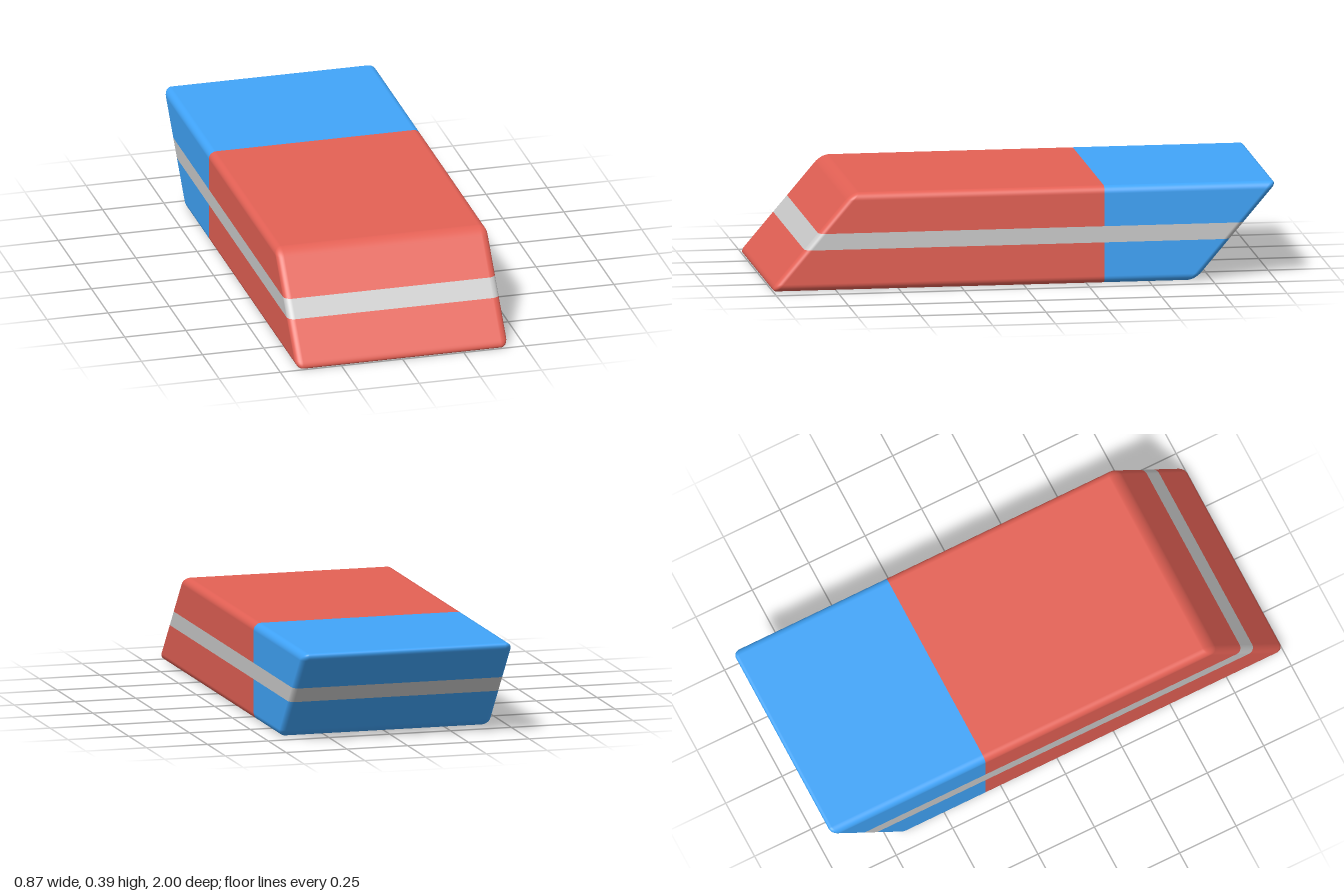
import * as THREE from 'three';
import { RoundedBoxGeometry } from 'three/addons/geometries/RoundedBoxGeometry.js';

const WIDTH = 0.866, HEIGHT = 0.39, DEPTH = 1.7, RADIUS = 0.03, SHEAR = 0.85;
const BAND_LOW = 0.165, BAND_HIGH = 0.23, COLOUR_SPLIT = -0.32;

// Keep the side of a triangle list where sign * (coordinate - limit) >= 0.
// A vertex is [x, y, z, nx, ny, nz].
function clip(triangles, axis, limit, sign) {
  const result = [];
  for (const tri of triangles) {
    const kept = [];
    tri.forEach((a, i) => {
      const b = tri[(i + 1) % 3];
      const da = sign * (a[axis] - limit), db = sign * (b[axis] - limit);
      if (da >= 0) kept.push(a);
      if ((da > 0 && db < 0) || (da < 0 && db > 0)) {
        const t = da / (da - db);
        kept.push(a.map((v, k) => v + (b[k] - v) * t));
      }
    });
    for (let i = 1; i + 1 < kept.length; i++) result.push([kept[0], kept[i], kept[i + 1]]);
  }
  return result;
}

// Slanted block: a rounded box sheared along z
function slantedBlock() {
  const geometry = new RoundedBoxGeometry(WIDTH, HEIGHT, DEPTH, 5, RADIUS);
  geometry.applyMatrix4(new THREE.Matrix4().makeShear(0, 0, 0, -SHEAR, 0, 0));
  geometry.translate(0, HEIGHT / 2, 0);
  const flat = geometry.index ? geometry.toNonIndexed() : geometry;
  const p = flat.attributes.position, n = flat.attributes.normal;
  const triangles = [];
  for (let i = 0; i < p.count; i += 3) {
    triangles.push([i, i + 1, i + 2].map((j) =>
      [p.getX(j), p.getY(j), p.getZ(j), n.getX(j), n.getY(j), n.getZ(j)]));
  }
  return triangles;
}

function makePart(name, color, triangles) {
  const vertices = triangles.flat();
  const geometry = new THREE.BufferGeometry();
  geometry.setAttribute('position',
    new THREE.Float32BufferAttribute(vertices.flatMap((v) => v.slice(0, 3)), 3));
  geometry.setAttribute('normal',
    new THREE.Float32BufferAttribute(vertices.flatMap((v) => v.slice(3)), 3));
  geometry.normalizeNormals();
  const mesh = new THREE.Mesh(geometry, new THREE.MeshStandardMaterial({ color }));
  mesh.name = name;
  return mesh;
}

export function createModel() {
  const group = new THREE.Group();
  group.name = 'eraser';
  const block = slantedBlock();
  const lower = clip(block, 1, BAND_LOW, -1);
  const upper = clip(block, 1, BAND_HIGH, 1);
  const band = clip(clip(block, 1, BAND_LOW, 1), 1, BAND_HIGH, -1);

  // Red front and blue back, each above and below the band
  for (const [level, part] of [['Lower', lower], ['Upper', upper]]) {
    group.add(makePart('redEnd' + level, 0xe46155, clip(part, 2, COLOUR_SPLIT, 1)));
    group.add(makePart('blueEnd' + level, 0x41a5fa, clip(part, 2, COLOUR_SPLIT, -1)));
  }

  // Grey stripe all the way round
  group.add(makePart('stripe', 0xcccccc, band));
  return group;
}
